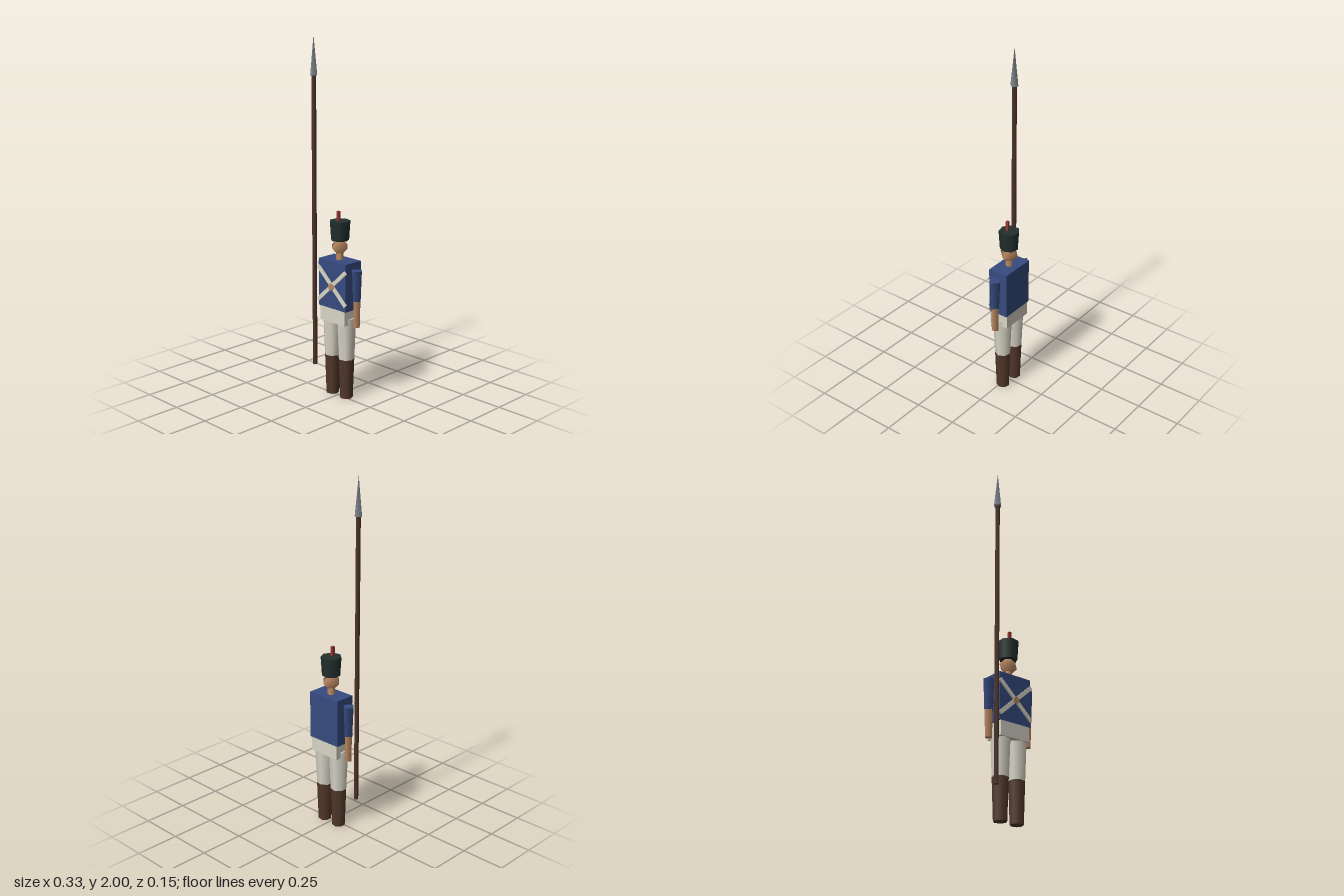
import * as THREE from 'three';

const paint = (name, hex) => {
  const m = new THREE.MeshStandardMaterial({ color: hex });
  m.name = name;
  return m;
};

export function createModel() {
  const blue = paint('coat blue', 0x364b80);
  const white = paint('cloth white', 0xd8d4c6);
  const skin = paint('skin', 0xc08c64);
  const boot = paint('boot brown', 0x52382a);
  const wood = paint('shaft brown', 0x4e3429);
  const black = paint('hat green black', 0x22302e);
  const red = paint('plume red', 0x963833);
  const steel = paint('steel', 0x858c94);
  const brass = paint('buckle brass', 0xba8a62);

  const model = new THREE.Group();
  model.name = 'toySoldier';
  const Z = -0.016; // middle of the body

  const add = (name, geometry, material, x, y, z) => {
    const mesh = new THREE.Mesh(geometry, material);
    mesh.name = name;
    mesh.position.set(x, y, z);
    model.add(mesh);
    return mesh;
  };
  // Upright tapered column between two heights
  const column = (name, material, x, z, y0, y1, rBottom, rTop, sides, turn = Math.PI / 2) => {
    const mesh = add(name, new THREE.CylinderGeometry(rTop, rBottom, y1 - y0, sides), material, x, (y0 + y1) / 2, z);
    mesh.rotation.y = turn;
    return mesh;
  };

  // Body
  add('torso', new THREE.BoxGeometry(0.206, 0.27, 0.118), blue, 0, 0.655, Z);
  add('hips', new THREE.BoxGeometry(0.19, 0.084, 0.114), white, 0, 0.48, Z + 0.001);

  // Limbs, mirrored
  for (const [side, s] of [['left', 1], ['right', -1]]) {
    column(side + 'Boot', boot, s * 0.054, -0.013, 0, 0.23, 0.037, 0.045, 7);
    column(side + 'Thigh', white, s * 0.054, -0.013, 0.23, 0.472, 0.045, 0.055, 7);
    column(side + 'Sleeve', blue, s * 0.13, Z, 0.58, 0.752, 0.029, 0.037, 4);
    column(side + 'Forearm', skin, s * 0.13, Z, 0.43, 0.58, 0.023, 0.027, 4);
  }

  // Head and hat
  column('neck', skin, 0, Z, 0.785, 0.83, 0.021, 0.021, 7);
  add('head', new THREE.SphereGeometry(0.06, 4, 2), skin, 0, 0.863, Z);
  column('hat', black, 0, Z, 0.9, 1.008, 0.051, 0.058, 7);
  add('plume', new THREE.BoxGeometry(0.016, 0.065, 0.016), red, 0, 1.03, -0.005);

  // Crossed straps with a buckle
  for (const s of [1, -1]) {
    const strap = add('strap', new THREE.BoxGeometry(0.283, 0.022, 0.009), white, 0, 0.65, 0.0465);
    strap.rotation.z = s * 0.74;
  }
  const buckle = add('buckle', new THREE.CylinderGeometry(0.02, 0.02, 0.009, 7), brass, 0, 0.647, 0.052);
  buckle.rotation.x = Math.PI / 2;

  // Spear
  column('spearShaft', wood, -0.13, 0.05, 0.165, 1.795, 0.013, 0.013, 6);
  column('spearHead', steel, -0.13, 0.05, 1.79, 2, 0.026, 0, 4);

  return model;
}
